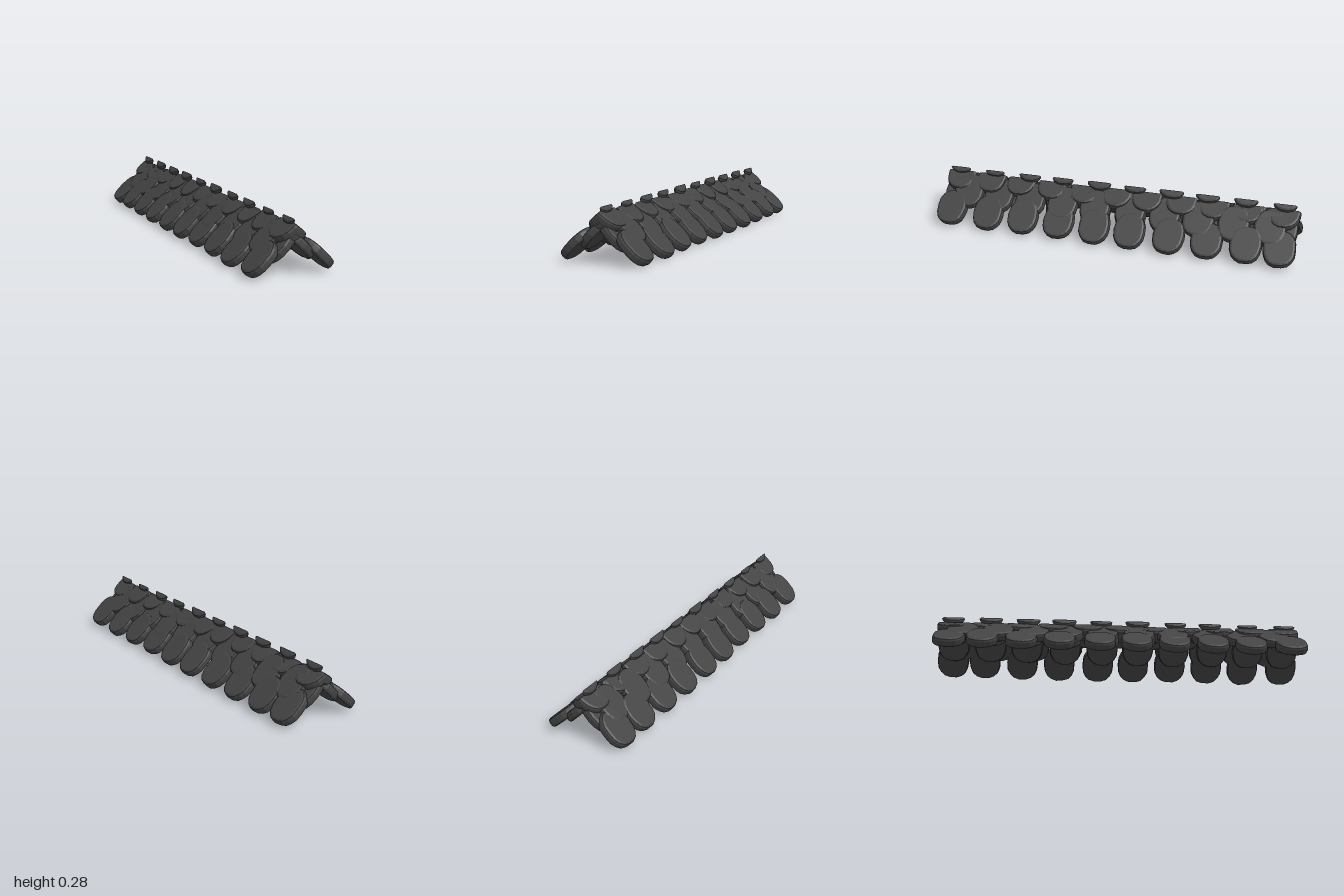
import * as THREE from 'three';
import { mergeGeometries } from 'three/addons/utils/BufferGeometryUtils.js';

const HALF_W = 0.085, HALF_L = 0.1, THICK = 0.048, BEVEL = 0.014;

// Small seeded generator giving values in -1..1
let seed = 7;
const jitter = () => {
  seed = (seed * 16807) % 2147483647;
  return (seed / 2147483647) * 2 - 1;
};

// One rounded scale tile: x runs across, y runs up the slope, z is the thickness
function tileGeometry() {
  const pts = [];
  const n = 18, e = 2 / 2.35;
  for (let i = 0; i < n; i++) {
    const a = (i / n) * Math.PI * 2, c = Math.cos(a), s = Math.sin(a);
    const wob = 1 + 0.015 * jitter();
    pts.push(new THREE.Vector2(
      Math.sign(c) * Math.abs(c) ** e * HALF_W * wob,
      Math.sign(s) * Math.abs(s) ** e * HALF_L * wob));
  }
  const g = new THREE.ExtrudeGeometry(new THREE.Shape(pts), {
    depth: THICK - 2 * BEVEL, bevelEnabled: true, bevelSize: BEVEL,
    bevelThickness: BEVEL, bevelOffset: -BEVEL, bevelSegments: 2,
  });
  g.translate(0, 0, -THICK / 2 + BEVEL);
  return g;
}

function fromPositions(list) {
  const g = new THREE.BufferGeometry();
  g.setAttribute('position', new THREE.Float32BufferAttribute(list, 3));
  g.computeVertexNormals();
  return g;
}

// Keep only the part of a geometry with x >= 0, so both slopes meet at the ridge
function clipAtRidge(g) {
  const p = g.attributes.position, out = [];
  for (let i = 0; i < p.count; i += 3) {
    const tri = [0, 1, 2].map((k) => new THREE.Vector3().fromBufferAttribute(p, i + k));
    const poly = [];
    tri.forEach((a, k) => {
      const b = tri[(k + 1) % 3];
      if (a.x >= 0) poly.push(a);
      if ((a.x >= 0) !== (b.x >= 0)) poly.push(a.clone().lerp(b, a.x / (a.x - b.x)));
    });
    for (let k = 1; k + 1 < poly.length; k++) {
      for (const v of [poly[0], poly[k], poly[k + 1]]) out.push(v.x, v.y, v.z);
    }
  }
  return fromPositions(out);
}

// Copy to the other side of x = 0, reversing the corner order
function mirrored(g) {
  const p = g.attributes.position, out = [];
  for (let i = 0; i < p.count; i += 3) {
    for (const k of [0, 2, 1]) out.push(-p.getX(i + k), p.getY(i + k), p.getZ(i + k));
  }
  return fromPositions(out);
}

// Lay a tile on the +x slope with its lower tip at (x, y)
function placeTile(x, y, z, slopeDeg) {
  const a = THREE.MathUtils.degToRad(slopeDeg);
  const up = new THREE.Vector3(-Math.cos(a), Math.sin(a), 0);
  const normal = new THREE.Vector3(Math.sin(a), Math.cos(a), 0);
  const m = new THREE.Matrix4().makeBasis(new THREE.Vector3(0, 0, -1), up, normal);
  m.setPosition(x + up.x * HALF_L, y + up.y * HALF_L, z);
  const g = tileGeometry();
  g.rotateZ(0.05 * jitter());
  g.applyMatrix4(m);
  return clipAtRidge(g);
}

const spaced = (count, end) =>
  Array.from({ length: count }, (_, i) => -end + (2 * end * i) / (count - 1));

export function createModel() {
  const model = new THREE.Group();
  model.name = 'scaleTileRoof';
  const slate = new THREE.MeshStandardMaterial({ color: 0x444444 });
  slate.name = 'darkSlate';

  // Courses from the eaves up to the ridge
  const courses = [
    { name: 'eavesTiles', x: 0.222, y: 0.02, slope: 43,
      zs: [-0.915, -0.735, -0.53, -0.33, -0.11, 0.085, 0.28, 0.49, 0.685, 0.905] },
    { name: 'lowerUnderTiles', x: 0.122, y: 0.075, slope: 46, zs: spaced(10, 0.905) },
    { name: 'lowerTiles', x: 0.143, y: 0.096, slope: 42, zs: spaced(10, 0.84) },
    { name: 'upperUnderTiles', x: 0.058, y: 0.145, slope: 50, zs: spaced(11, 0.9) },
    { name: 'upperTiles', x: 0.072, y: 0.172, slope: 36, zs: spaced(11, 0.9) },
    { name: 'ridgeTiles', x: 0.008, y: 0.237, slope: 47, zs: spaced(10, 0.905) },
  ];

  for (const c of courses) {
    const tiles = c.zs.map((z) => {
      const slide = 0.004 * jitter();
      const zz = THREE.MathUtils.clamp(z + 0.008 * jitter(), -0.912, 0.912);
      return placeTile(c.x + slide, c.y - slide * 0.5, zz, c.slope + 2 * jitter());
    });
    const left = mergeGeometries(tiles);
    const course = new THREE.Group();
    course.name = c.name;
    for (const [side, g] of [['Left', left], ['Right', mirrored(left)]]) {
      const mesh = new THREE.Mesh(g, slate);
      mesh.name = c.name + side;
      course.add(mesh);
    }
    model.add(course);
  }

  // Rest the lowest tile on the ground
  const lowest = new THREE.Box3().setFromObject(model).min.y;
  model.children.forEach((course) => { course.position.y = -lowest; });
  return model;
}
